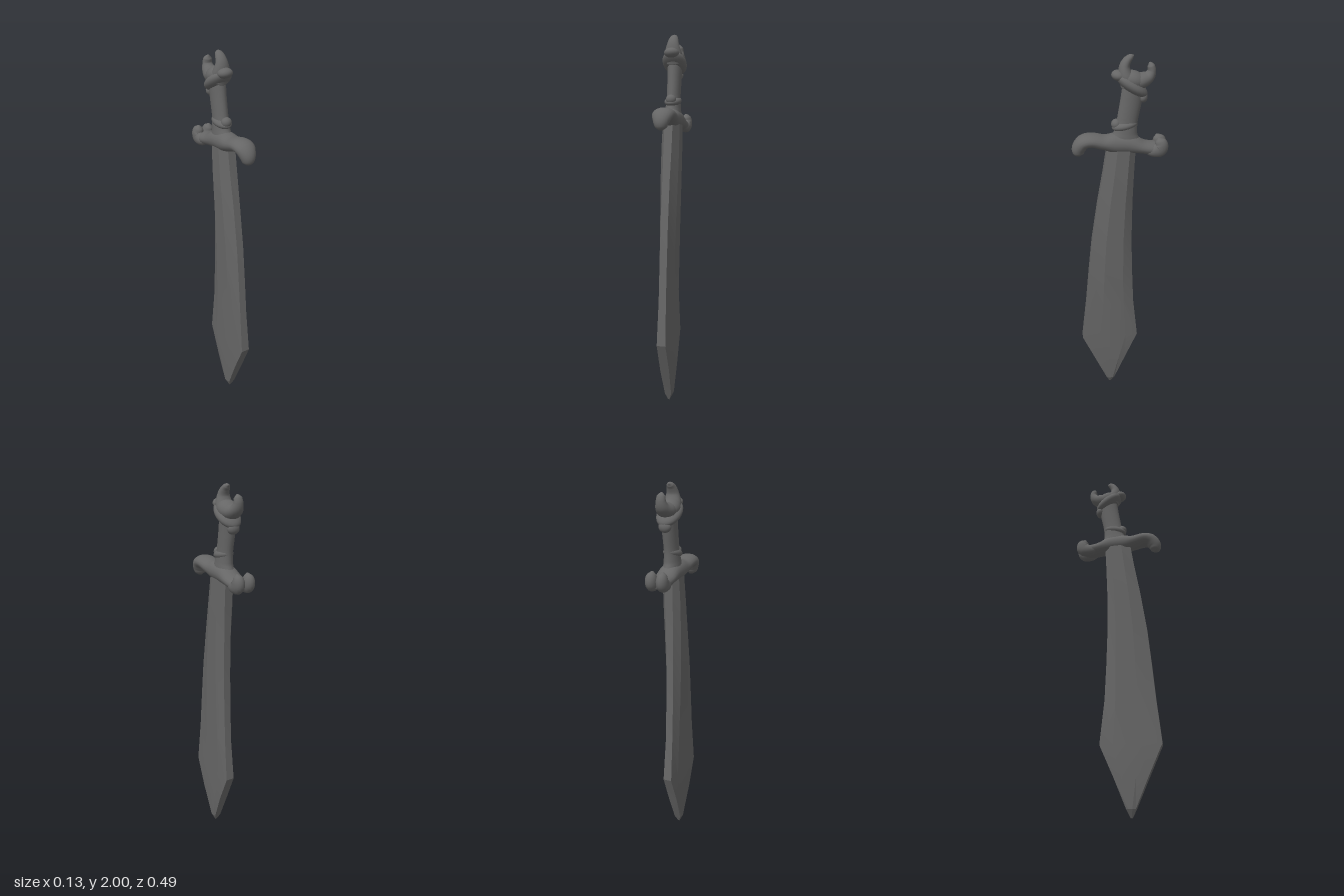
import * as THREE from 'three';
import { toCreasedNormals } from 'three/addons/utils/BufferGeometryUtils.js';

const metal = new THREE.MeshStandardMaterial({ color: 0x666666 });
metal.name = 'dark grey metal';

// Skin over equal-length rings of points, closed at both ends
function skin(rings) {
  const n = rings[0].length, pos = [], idx = [];
  rings.forEach(r => r.forEach(p => pos.push(p.x, p.y, p.z)));
  for (let i = 0; i < rings.length - 1; i++) {
    for (let j = 0; j < n; j++) {
      const a = i * n + j, b = i * n + (j + 1) % n;
      idx.push(a, b, a + n, b, b + n, a + n);
    }
  }
  [0, rings.length - 1].forEach(i => {
    const c = new THREE.Vector3();
    rings[i].forEach(p => c.addScaledVector(p, 1 / n));
    const k = pos.length / 3;
    pos.push(c.x, c.y, c.z);
    for (let j = 0; j < n; j++) {
      const a = i * n + j, b = i * n + (j + 1) % n;
      if (i === 0) idx.push(k, b, a); else idx.push(k, a, b);
    }
  });
  const g = new THREE.BufferGeometry();
  g.setAttribute('position', new THREE.Float32BufferAttribute(pos, 3));
  g.setIndex(idx);
  g.computeVertexNormals();
  return g;
}

// Elliptical sweep along stations [z, y, half width in x, radius in the yz plane]
function sweep(stations, x = 0, steps = 40, sides = 20) {
  const path = new THREE.CatmullRomCurve3(stations.map(s => new THREE.Vector3(x, s[1], s[0])));
  const size = new THREE.CatmullRomCurve3(stations.map(s => new THREE.Vector3(s[2], s[3], 0)));
  const X = new THREE.Vector3(1, 0, 0), rings = [];
  for (let i = 0; i <= steps; i++) {
    const p = path.getPoint(i / steps), s = size.getPoint(i / steps);
    const B = path.getTangent(i / steps).cross(X).normalize();
    const rx = Math.max(s.x, 0.002), r = Math.max(s.y, 0.002);
    rings.push(Array.from({ length: sides }, (_, j) => {
      const a = j / sides * Math.PI * 2;
      return p.clone().addScaledVector(X, rx * Math.cos(a)).addScaledVector(B, r * Math.sin(a));
    }));
  }
  return skin(rings);
}

function add(group, name, geometry) {
  const m = new THREE.Mesh(geometry, metal);
  m.name = name;
  group.add(m);
  return m;
}

function ellipsoid(group, name, p, s, tilt = 0) {
  const m = add(group, name, new THREE.SphereGeometry(1, 24, 16));
  m.position.set(...p);
  m.scale.set(...s);
  m.rotation.x = tilt;
  return m;
}

export function createModel() {
  const sword = new THREE.Group();
  sword.name = 'sword';

  // Blade rows: y, back z, front z, half thickness, half edge thickness
  const rows = [
    [0, 0.055, 0.065, 0.004, 0.003],
    [0.04, 0.035, 0.082, 0.024, 0.018],
    [0.2, -0.03, 0.15, 0.034, 0.025],
    [0.36, -0.1, 0.22, 0.034, 0.024],
    [0.6, -0.076, 0.193, 0.035, 0.02],
    [0.8, -0.068, 0.174, 0.04, 0.02],
    [1.0, -0.063, 0.153, 0.044, 0.02],
    [1.23, -0.066, 0.118, 0.048, 0.02],
    [1.4, -0.073, 0.087, 0.049, 0.022],
    [1.57, -0.082, 0.06, 0.045, 0.022],
  ];
  const blade = skin(rows.map(([y, zb, zf, t, e]) => {
    const at = (x, f) => new THREE.Vector3(x, y, zb + (zf - zb) * f);
    return [at(t, 0.65), at(t, 0.22), at(e, 0), at(-e, 0),
      at(-t, 0.22), at(-t, 0.65), at(-e, 1), at(e, 1)];
  }));
  add(sword, 'blade', toCreasedNormals(blade, 0.2));

  // Crossguard with a drooping front end and a split curl at the back
  const guard = new THREE.Group();
  guard.name = 'guard';
  sword.add(guard);
  add(guard, 'crossbar', sweep([
    [0.208, 1.494, 0.008, 0.008], [0.21, 1.508, 0.03, 0.028], [0.208, 1.535, 0.042, 0.036],
    [0.185, 1.568, 0.055, 0.036], [0.145, 1.576, 0.058, 0.035], [0.08, 1.562, 0.056, 0.038],
    [0.02, 1.556, 0.056, 0.052], [-0.05, 1.55, 0.056, 0.05], [-0.12, 1.53, 0.056, 0.034],
    [-0.17, 1.521, 0.054, 0.034], [-0.21, 1.523, 0.03, 0.025],
  ]));
  [-1, 1].forEach(s => {
    add(guard, s > 0 ? 'leftCurl' : 'rightCurl', sweep([
      [-0.13, 1.522, 0.014, 0.018], [-0.17, 1.514, 0.029, 0.032], [-0.203, 1.523, 0.031, 0.04],
      [-0.209, 1.546, 0.03, 0.036], [-0.201, 1.568, 0.022, 0.025], [-0.196, 1.583, 0.004, 0.004],
    ], s * 0.03, 24, 16));
  });

  // Grip leaning backwards, with a collar at its foot
  add(sword, 'grip', sweep([
    [-0.025, 1.56, 0.045, 0.085], [-0.03, 1.61, 0.04, 0.06], [-0.04, 1.68, 0.036, 0.053],
    [-0.055, 1.76, 0.037, 0.054], [-0.07, 1.85, 0.04, 0.055], [-0.075, 1.88, 0.035, 0.045],
  ]));
  ellipsoid(sword, 'gripCollar', [0, 1.648, -0.025], [0.045, 0.027, 0.066], 0.2);
  ellipsoid(sword, 'collarKnob', [0, 1.655, 0.018], [0.028, 0.026, 0.025]);

  // Pommel: slanted collar, nose and two curved horns
  const pommel = new THREE.Group();
  pommel.name = 'pommel';
  sword.add(pommel);
  ellipsoid(pommel, 'slantedCollar', [0, 1.85, -0.06], [0.065, 0.036, 0.092], -0.62);
  ellipsoid(pommel, 'pommelHead', [0, 1.875, -0.065], [0.056, 0.045, 0.066], -0.3);
  ellipsoid(pommel, 'nose', [0, 1.898, 0.005], [0.04, 0.026, 0.036], -0.2);
  ellipsoid(pommel, 'backSpur', [0, 1.79, -0.115], [0.034, 0.03, 0.024]);
  add(pommel, 'frontHorn', sweep([
    [-0.05, 1.86, 0.05, 0.05], [-0.028, 1.9, 0.046, 0.037], [-0.024, 1.94, 0.034, 0.026],
    [-0.038, 1.97, 0.026, 0.02], [-0.056, 1.986, 0.018, 0.014], [-0.069, 1.992, 0.003, 0.003],
  ]));
  add(pommel, 'backHorn', sweep([
    [-0.06, 1.865, 0.05, 0.045], [-0.105, 1.87, 0.05, 0.04], [-0.143, 1.888, 0.036, 0.03],
    [-0.157, 1.915, 0.026, 0.021], [-0.153, 1.94, 0.022, 0.018], [-0.146, 1.957, 0.004, 0.004],
  ]));
  return sword;
}
